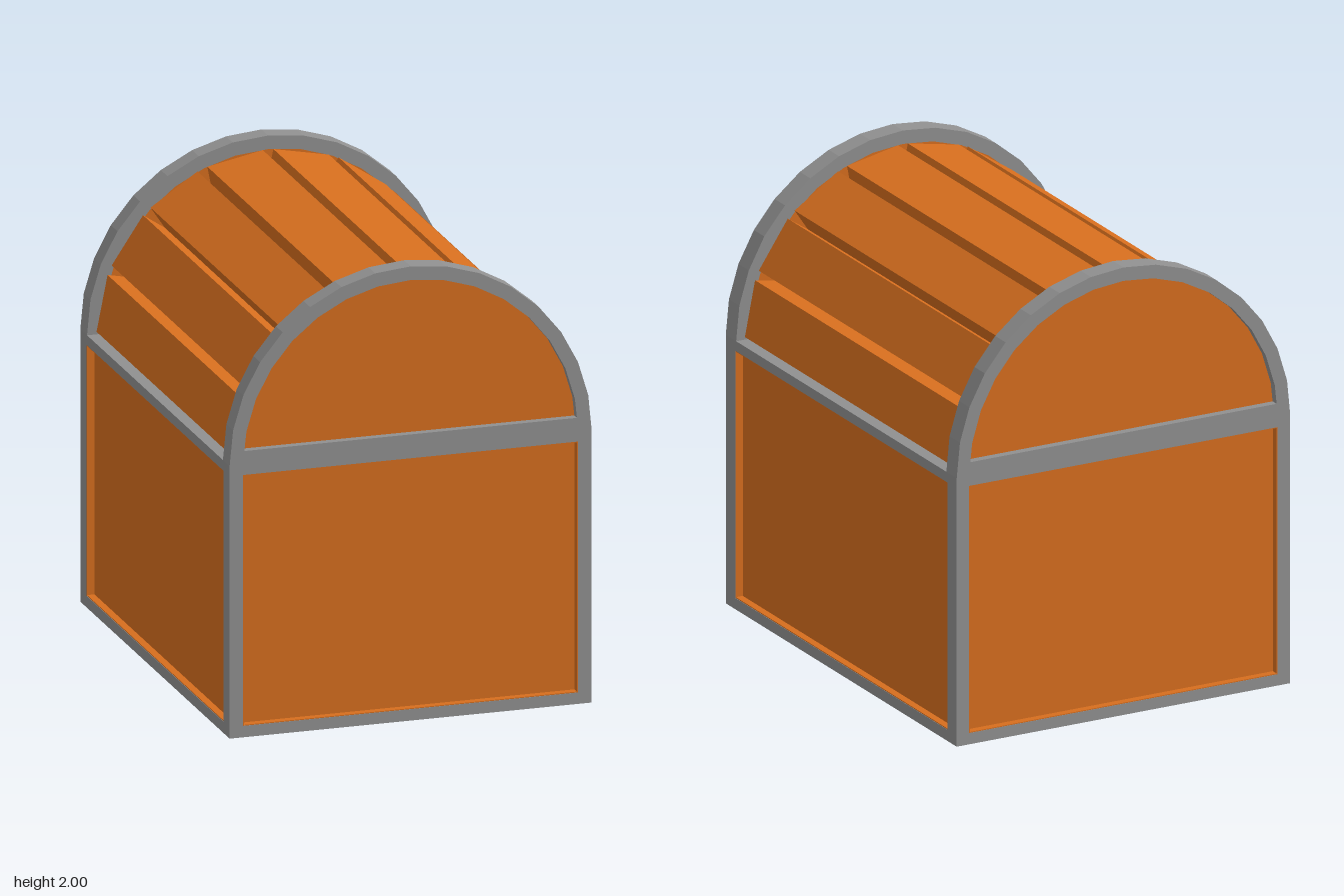
import * as THREE from 'three';

const trimMat = new THREE.MeshStandardMaterial({ color: 0x909090, flatShading: true });
const woodMat = new THREE.MeshStandardMaterial({ color: 0xd66e1e, flatShading: true });

const W = 1.6, H = 1.2, L = 2; // chest width, base height, length
const RECESS = 0.035;          // depth of the base panels behind their frames
const HOOP = 0.09;             // thickness of the lid end hoops
const SEG = 16;                // facets of the lid arch

function add(parent, name, geometry, material, x = 0, y = 0, z = 0) {
  const mesh = new THREE.Mesh(geometry, material);
  mesh.name = name;
  mesh.position.set(x, y, z);
  parent.add(mesh);
  return mesh;
}

const rect = (x, y0, y1) => [[-x, y0], [x, y0], [x, y1], [-x, y1]].map(p => new THREE.Vector2(...p));

// Flat plate with an optional opening, extruded along +z
function plate(outline, hole, depth) {
  const shape = new THREE.Shape(outline);
  if (hole) shape.holes.push(new THREE.Path(hole));
  return new THREE.ExtrudeGeometry(shape, { depth, bevelEnabled: false });
}

// Half-round outline; a raised floor clips its lower corners
function arch(r, floor) {
  const pts = [];
  for (let i = 0; i <= SEG; i++) {
    const a = Math.PI * i / SEG;
    const end = i === 0 || i === SEG;
    const x = r * Math.cos(a);
    pts.push(new THREE.Vector2(
      end ? x * (floor > H ? 0.993 : 1) : x,
      end ? floor : H + r * Math.sin(a)));
  }
  return pts;
}

// Frame with a thin wooden lining around its opening
function panelFrame(half, holeHalf) {
  const g = new THREE.Group();
  const hole = rect(holeHalf, 0.05, 1.155);
  add(g, 'frame', plate(rect(half, 0, H), hole, RECESS), trimMat);
  add(g, 'frameLining', plate(hole, rect(holeHalf - 0.004, 0.054, 1.151), RECESS - 0.002), woodMat);
  return g;
}

function createBase() {
  const base = new THREE.Group();
  base.name = 'base';
  const w = W - 2 * RECESS, l = L - 2 * RECESS;
  add(base, 'basePanels', new THREE.BoxGeometry(w, H - 0.04, l), woodMat, 0, H / 2);
  add(base, 'bottomPlate', new THREE.BoxGeometry(w, 0.02, l), trimMat, 0, 0.01);
  add(base, 'topPlate', new THREE.BoxGeometry(w, 0.02, l), trimMat, 0, H - 0.01);

  // Frames on the four sides
  for (const turn of [0, 1, 2, 3]) {
    const isSide = turn % 2 === 1;
    const frame = panelFrame(isSide ? l / 2 : W / 2, isSide ? 0.92 : 0.74);
    frame.name = ['frontFrame', 'leftFrame', 'backFrame', 'rightFrame'][turn];
    const a = turn * Math.PI / 2, d = (isSide ? w : l) / 2;
    frame.rotation.y = a;
    frame.position.set(Math.sin(a) * d, 0, Math.cos(a) * d);
    base.add(frame);
  }
  return base;
}

function createLid() {
  const lid = new THREE.Group();
  lid.name = 'lid';

  // Hoops and recessed wooden ends
  const opening = arch(0.74, 1.26);
  for (const s of [1, -1]) {
    const end = new THREE.Group();
    end.name = s > 0 ? 'frontEnd' : 'backEnd';
    end.rotation.y = s > 0 ? 0 : Math.PI;
    end.position.z = s * (L / 2 - HOOP);
    add(end, 'hoop', plate(arch(0.8, H), opening, HOOP), trimMat);
    add(end, 'endPanel', plate(opening, null, HOOP - 0.035), woodMat);
    lid.add(end);
  }

  // Planks around the arch, their inner edges meeting in V grooves
  const count = 8, thickness = 0.115;
  for (let i = 0; i < count; i++) {
    const a = Math.PI * (i + 0.5) / count;
    const nx = Math.cos(a), ny = Math.sin(a);
    const geo = new THREE.BoxGeometry(thickness, 0.25, L - 2 * HOOP);
    geo.translate(-thickness / 2, 0, 0);
    const plank = add(lid, 'plank', geo, woodMat, 0.748 * nx, 1.19 + 0.738 * ny);
    plank.rotation.z = a;
  }
  return lid;
}

export function createModel() {
  const model = new THREE.Group();
  model.name = 'chest';
  model.add(createBase(), createLid());
  return model;
}
